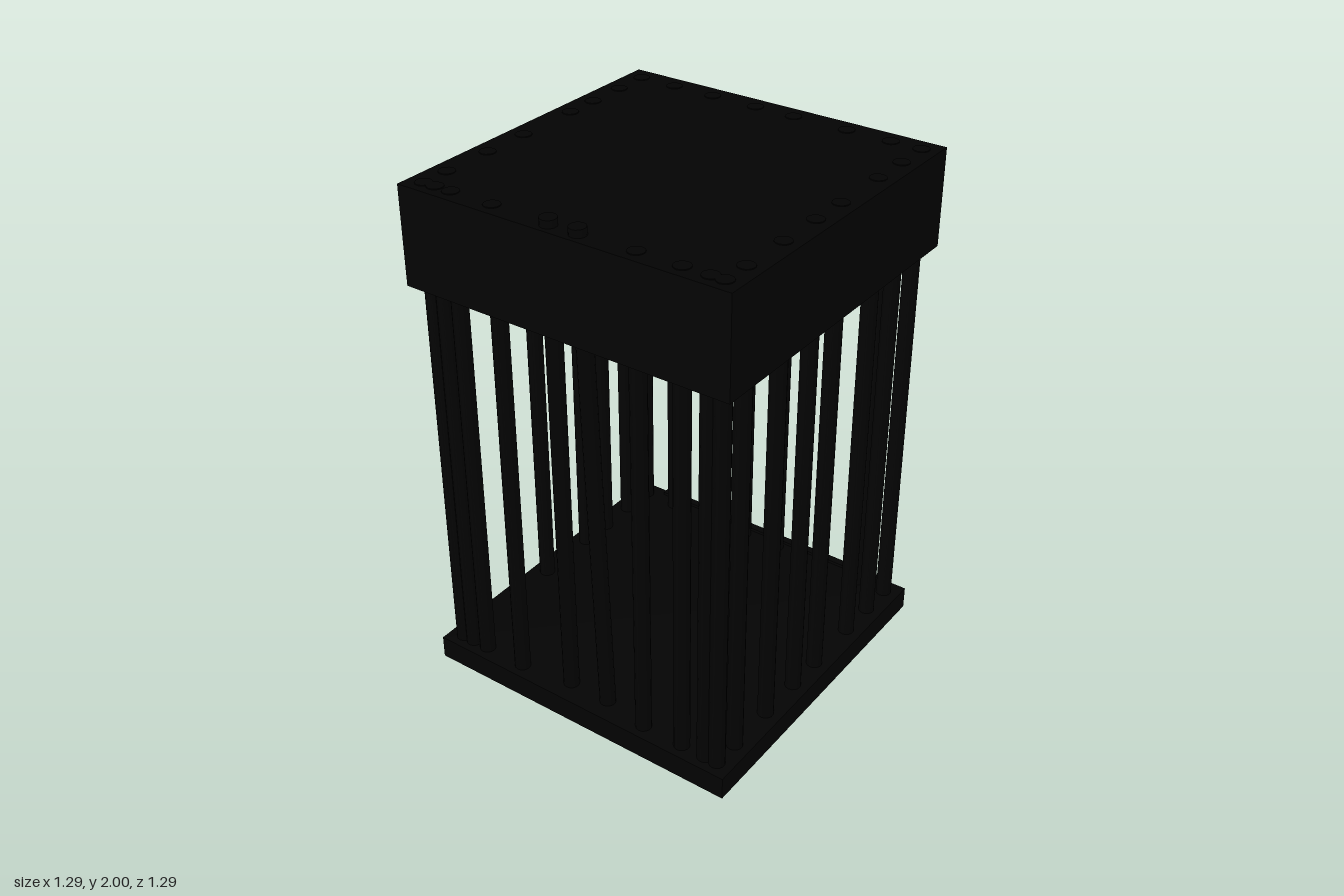
import * as THREE from 'three';

const dark = new THREE.MeshStandardMaterial({ color: 0x030303 });
const HALF = 0.647; // half width of base and roof
const WALL = 0.03;  // thickness of the roof skirt
const BAR = 0.03;   // bar radius

export function createModel() {
  const cage = new THREE.Group();
  cage.name = 'cage';

  // Box given by its minimum and maximum corners
  const box = (name, min, max) => {
    const size = max.map((v, i) => v - min[i]);
    const mesh = new THREE.Mesh(new THREE.BoxGeometry(...size), dark);
    mesh.position.set(...max.map((v, i) => (v + min[i]) / 2));
    mesh.name = name;
    cage.add(mesh);
  };

  // Round bar between two points
  const bar = (name, from, to) => {
    const a = new THREE.Vector3(...from), b = new THREE.Vector3(...to);
    const dir = b.clone().sub(a);
    const mesh = new THREE.Mesh(new THREE.CylinderGeometry(BAR, BAR, dir.length(), 14), dark);
    mesh.position.copy(a).add(b).multiplyScalar(0.5);
    mesh.quaternion.setFromUnitVectors(new THREE.Vector3(0, 1, 0), dir.normalize());
    mesh.name = name;
    cage.add(mesh);
  };
  const upright = (name, x, z) => bar(name, [x, 0.05, z], [x, 1.973, z]);

  // Base slab with a low lip at the back
  box('base', [-HALF, 0, -HALF], [HALF, 0.09, HALF]);
  box('baseLip', [-0.52, 0.08, -HALF], [0.52, 0.102, -HALF + 0.03]);

  // Hollow roof: top plate and four skirt walls, the back one hanging lower
  const inner = HALF - WALL;
  box('roofPlate', [-HALF, 1.935, -HALF], [HALF, 1.97, HALF]);
  box('frontSkirt', [-HALF, 1.603, inner], [HALF, 1.94, HALF]);
  box('backSkirt', [-HALF, 1.603, -HALF], [HALF, 1.94, -inner]);
  box('backSkirtLip', [-0.52, 1.58, -HALF], [0.52, 1.61, -inner]);
  for (const s of [-1, 1]) {
    const x = [s * inner, s * HALF].sort((p, q) => p - q);
    box('sideSkirt', [x[0], 1.603, -inner], [x[1], 1.94, inner]);
  }

  // Side bars; the two sides differ by one bar
  const sideRow = [0.48, 0.28, 0.095, -0.29, -0.445];
  for (const z of [...sideRow, -0.055]) upright('leftBar', 0.585, z);
  for (const z of [...sideRow, -0.16]) upright('rightBar', -0.585, z);

  // Front and back rows, set slightly off from each other
  for (const x of [-0.585, -0.535, -0.468, -0.295, 0.268, 0.435, 0.535, 0.585]) upright('frontBar', x, 0.59);
  for (const x of [-0.585, -0.435, -0.265, -0.08, 0.08, 0.295, 0.468, 0.585]) upright('backBar', x, -0.582);

  // The two middle front bars lean and stand proud of the roof
  for (const s of [-1, 1]) bar('leaningFrontBar', [s * 0.085, 0.05, 0.56], [s * 0.057, 1.998, 0.602]);

  return cage;
}
